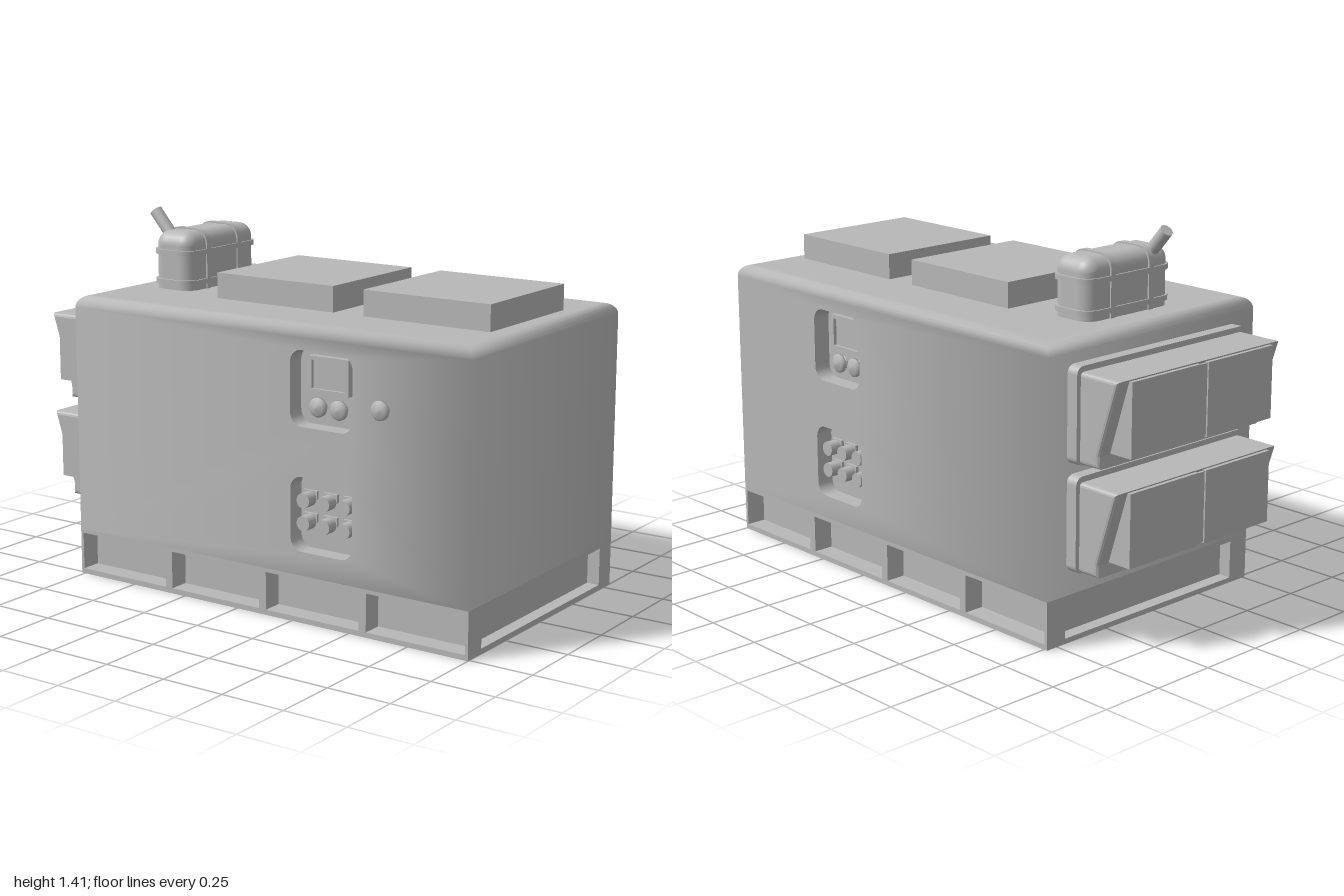
import * as THREE from 'three';
import { RoundedBoxGeometry } from 'three/addons/geometries/RoundedBoxGeometry.js';

const grey = new THREE.MeshStandardMaterial({ color: 0xb8b8b8 });
grey.name = 'casing grey';

// Housing centre and half sizes
const CX = 0.1175, CZ = -0.02, HX = 0.8825, HZ = 0.53;
const Y0 = 0.18, Y1 = 1.06, R = 0.045;

function add(parent, name, geometry, x = 0, y = 0, z = 0) {
  const mesh = new THREE.Mesh(geometry, grey);
  mesh.name = name;
  mesh.position.set(x, y, z);
  parent.add(mesh);
  return mesh;
}

// Box given by its limits
function block(parent, name, x0, x1, y0, y1, z0, z1) {
  return add(parent, name, new THREE.BoxGeometry(x1 - x0, y1 - y0, z1 - z0),
    (x0 + x1) / 2, (y0 + y1) / 2, (z0 + z1) / 2);
}

function group(parent, name) {
  const g = new THREE.Group();
  g.name = name;
  parent.add(g);
  return g;
}

function roundedRect(w, h, r, cx = 0, cy = 0, path = new THREE.Shape()) {
  const x = w / 2 - r, y = h / 2 - r;
  path.absarc(cx + x, cy + y, r, 0, Math.PI / 2);
  path.absarc(cx - x, cy + y, r, Math.PI / 2, Math.PI);
  path.absarc(cx - x, cy - y, r, Math.PI, Math.PI * 1.5);
  path.absarc(cx + x, cy - y, r, Math.PI * 1.5, Math.PI * 2);
  path.closePath();
  return path;
}

const plate = (shape, depth) =>
  new THREE.ExtrudeGeometry(shape, { depth, bevelEnabled: false, curveSegments: 6 });

// End walls and rounded top edge, as rings of four corners
function shellGeometry() {
  const rings = [[Y0, 0, 0]];
  for (let i = 0; i <= 6; i++) {
    const a = (i / 6) * Math.PI / 2;
    rings.push([Y1 + R * Math.sin(a), R * (1 - Math.cos(a)), a]);
  }
  const corners = [[1, 1], [1, -1], [-1, -1], [-1, 1]];
  const pos = [], nor = [], idx = [];
  for (const [y, inset, a] of rings) {
    for (const [sx, sz] of corners) {
      pos.push(sx * (HX - inset), y, sz * (HZ - inset));
      nor.push(sx * 0.7071 * Math.cos(a), Math.sin(a), sz * 0.7071 * Math.cos(a));
    }
  }
  for (let i = 0; i < rings.length - 1; i++) {
    for (let j = 0; j < 4; j++) {
      if (i === 0 && j % 2 === 1) continue; // the long walls have openings
      const a = i * 4 + j, b = i * 4 + (j + 1) % 4;
      idx.push(a, b, b + 4, a, b + 4, a + 4);
    }
  }
  const t = (rings.length - 1) * 4;
  idx.push(t, t + 1, t + 2, t, t + 2, t + 3);
  const g = new THREE.BufferGeometry();
  g.setAttribute('position', new THREE.Float32BufferAttribute(pos, 3));
  g.setAttribute('normal', new THREE.Float32BufferAttribute(nor, 3));
  g.setIndex(idx);
  return g;
}

// Long wall with two recessed control panels
function longWall(parent, name, px) {
  const side = group(parent, name);
  const shape = new THREE.Shape([[-HX, Y0], [HX, Y0], [HX, Y1], [-HX, Y1]]
    .map(([x, y]) => new THREE.Vector2(x, y)));
  const panelY = [0.875, 0.41];
  for (const y of panelY) shape.holes.push(roundedRect(0.27, 0.28, 0.05, px, y, new THREE.Path()));
  const wall = new THREE.ShapeGeometry(shape, 6);
  const p = wall.attributes.position, n = wall.attributes.normal;
  for (let i = 0; i < p.count; i++) {
    if (Math.abs(p.getX(i)) > HX - 0.001) n.setXYZ(i, Math.sign(p.getX(i)) * 0.7071, 0, 0.7071);
  }
  add(side, 'wall', wall, 0, 0, HZ);

  // Recess walls and floor
  const floor = HZ - 0.07;
  for (const y of panelY) {
    const rim = roundedRect(0.31, 0.32, 0.05);
    rim.holes.push(roundedRect(0.27, 0.28, 0.05, 0, 0, new THREE.Path()));
    add(side, 'recessRim', plate(rim, 0.069), px, y, floor);
    block(side, 'recessFloor', px - 0.15, px + 0.15, y - 0.15, y + 0.15, floor - 0.01, floor);
  }

  // Display and two dials
  const frame = roundedRect(0.175, 0.135, 0.004);
  frame.holes.push(roundedRect(0.145, 0.105, 0.003, 0, 0, new THREE.Path()));
  add(side, 'displayFrame', plate(frame, 0.025), px, 0.922, floor);
  block(side, 'displayScreen', px - 0.08, px + 0.08, 0.865, 0.98, floor, floor + 0.012);
  for (const dx of [-0.045, 0.045]) knob(side, 'dial', px + dx, 0.803, floor, 0.036);

  // Six sockets
  for (const dx of [-0.088, 0, 0.088]) {
    for (const y of [0.458, 0.372]) {
      block(side, 'socketBase', px + dx - 0.03, px + dx + 0.03, y - 0.03, y + 0.03, floor, floor + 0.012);
      add(side, 'socket', new THREE.CylinderGeometry(0.028, 0.028, 0.055, 16).rotateX(Math.PI / 2),
        px + dx, y, floor + 0.03);
    }
  }
  return side;
}

// Turned knob facing +z
function knob(parent, name, x, y, z, r) {
  const profile = [[0.7, 0], [0.7, 0.2], [0.45, 0.25], [0.45, 0.45], [1, 0.5], [1, 0.75], [0.75, 1], [0, 1.12]]
    .map(([a, b]) => new THREE.Vector2(a * r, b * r));
  return add(parent, name, new THREE.LatheGeometry(profile, 20).rotateX(Math.PI / 2), x, y, z);
}

// Skid base with open pockets on all four sides
function buildBase(parent) {
  const base = group(parent, 'base');
  base.position.set(CX, 0, CZ);
  const lo = 0.02, hi = 0.165;
  block(base, 'bottomSlab', -HX, HX, 0, lo, -HZ, HZ);
  block(base, 'topSlab', -HX, HX, hi, Y0, -HZ, HZ);
  block(base, 'core', -HX + 0.05, HX - 0.05, lo, hi, -0.45, 0.45);
  for (const s of [-1, 1]) {
    const za = s > 0 ? 0.45 : -HZ, zb = s > 0 ? HZ : -0.45;
    for (const x of [-0.4425, 0, 0.4425]) block(base, 'post', x - 0.016, x + 0.016, lo, hi, za, zb);
    for (const e of [-1, 1]) {
      const post = block(base, 'endPost', -0.006, 0.006, lo, hi, za, zb);
      post.position.x = e * (HX - 0.006);
      const corner = block(base, 'cornerWall', -0.025, 0.025, lo, hi, -0.005, 0.005);
      corner.position.x = e * (HX - 0.025);
      corner.position.z = s * 0.445;
    }
  }
}

// Sloped ventilation hood on the -x end; y is its lower edge
function buildHood(parent, y) {
  const hood = group(parent, 'ventHood');
  hood.position.set(0, y, CZ);
  add(hood, 'flange', plate(roundedRect(0.875, 0.355, 0.03), 0.048).rotateY(-Math.PI / 2),
    -0.763, 0.173, 0);
  const b = 0.015;
  const shape = new THREE.Shape([[-0.78, b], [-0.9 + b, b], [-0.9 + b, 0.05], [-0.985 + b, 0.315], [-0.78, 0.315]]
    .map(([x, v]) => new THREE.Vector2(x, v)));
  const body = new THREE.ExtrudeGeometry(shape, {
    depth: 0.84 - 2 * b, bevelThickness: b, bevelSize: b, bevelSegments: 3 });
  add(hood, 'hoodBody', body, 0, 0, -0.42 + b);
  // Vertical grille face in two halves
  block(hood, 'grilleLeft', -1, -0.88, 0.05, 0.322, 0.02, 0.365);
  block(hood, 'grilleRight', -1, -0.88, 0.05, 0.322, -0.365, -0.02);
  block(hood, 'grilleMullion', -0.994, -0.88, 0.055, 0.318, -0.02, 0.02);
}

// Strapped silencer tank with a slanted outlet pipe
function buildSilencer(parent) {
  const tank = group(parent, 'silencer');
  tank.position.set(-0.5475, 0, CZ);
  add(tank, 'tank', new RoundedBoxGeometry(0.184, 0.28, 0.43, 5, 0.055), 0, 1.19, 0);
  for (const y of [1.125, 1.24]) {
    add(tank, 'collar', plate(roundedRect(0.196, 0.45, 0.06), 0.02).rotateX(-Math.PI / 2), 0, y, 0);
  }
  for (const z of [0.09, -0.105]) {
    add(tank, 'strap', plate(roundedRect(0.196, 0.28, 0.058), 0.024), 0, 1.196, z);
  }
  const path = new THREE.LineCurve3(new THREE.Vector3(-0.04, 1.285, 0.138), new THREE.Vector3(-0.135, 1.395, 0.138));
  const dir = path.v2.clone().sub(path.v1);
  const pipe = add(tank, 'outletPipe', new THREE.CylinderGeometry(0.025, 0.025, dir.length(), 16));
  pipe.position.copy(path.getPoint(0.5));
  pipe.quaternion.setFromUnitVectors(new THREE.Vector3(0, 1, 0), dir.normalize());
}

export function createModel() {
  const model = new THREE.Group();
  model.name = 'generator';

  buildBase(model);

  const housing = group(model, 'housing');
  housing.position.set(CX, 0, CZ);
  add(housing, 'shell', shellGeometry());
  longWall(housing, 'frontWall', 0.2625);
  longWall(housing, 'backWall', -0.2625).rotation.y = Math.PI;

  // Front switch
  knob(model, 'frontSwitch', 0.645, 0.845, CZ + HZ, 0.036);

  // Roof covers
  block(model, 'roofCover', -0.285, 0.248, 1.09, 1.203, -0.285, 0.243);
  block(model, 'roofCover', 0.38, 0.91, 1.09, 1.203, -0.285, 0.243);

  for (const y of [0.67, 0.275]) buildHood(model, y);
  buildSilencer(model);
  return model;
}
